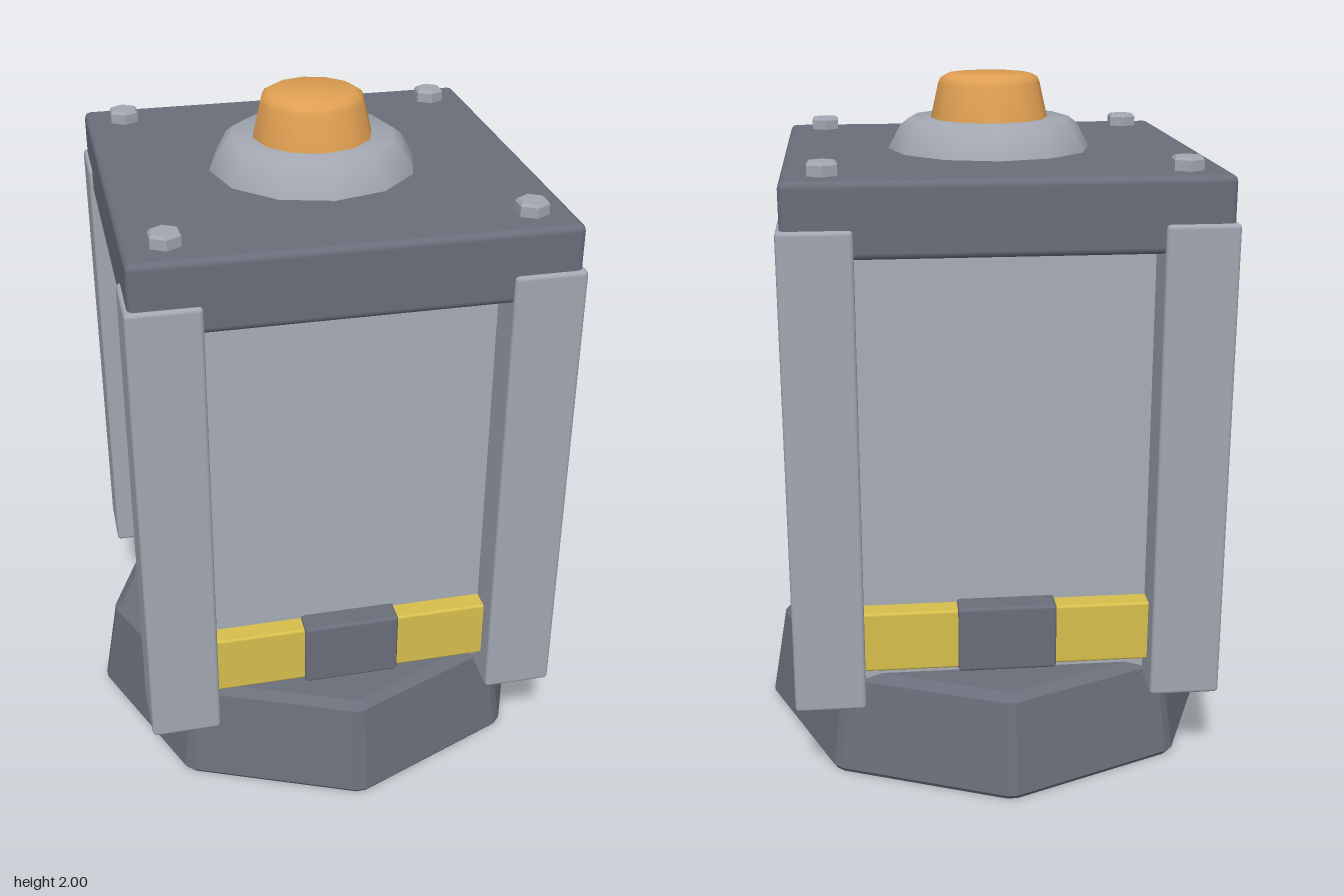
import * as THREE from 'three';
import { RoundedBoxGeometry } from 'three/addons/geometries/RoundedBoxGeometry.js';
import { toCreasedNormals } from 'three/addons/utils/BufferGeometryUtils.js';

const material = (name, color) => {
  const m = new THREE.MeshStandardMaterial({ color });
  m.name = name;
  return m;
};

export function createModel() {
  const model = new THREE.Group();
  model.name = 'beaconCanister';

  const dark = material('darkMetal', 0x6a6e7a);
  const light = material('lightMetal', 0xa2a7b1);
  const wall = material('wallMetal', 0xa8adb5);
  const yellow = material('yellowBand', 0xd6be4c);
  const orange = material('orangeLamp', 0xe0a052);

  const add = (name, geometry, mat, x = 0, y = 0, z = 0, parent = model) => {
    const mesh = new THREE.Mesh(geometry, mat);
    mesh.name = name;
    mesh.position.set(x, y, z);
    parent.add(mesh);
    return mesh;
  };
  // Softly bevelled box spanning y0..y1
  const box = (name, w, y0, y1, d, bevel, mat, x = 0, z = 0, parent = model) =>
    add(name, new RoundedBoxGeometry(w, y1 - y0, d, 2, bevel), mat, x, (y0 + y1) / 2, z, parent);
  const lathe = (points, sides) =>
    new THREE.LatheGeometry(points.map(([r, y]) => new THREE.Vector2(r, y)), sides);

  // Eight-sided base: sixteen spokes are pulled together in pairs to chamfer the corners
  const base = lathe(
    [[0, 0], [0.7, 0], [0.711, 0.015], [0.664, 0.29], [0.635, 0.312], [0, 0.312]], 16);
  const p = base.attributes.position;
  for (let i = 0; i < p.count; i++) {
    const r = Math.hypot(p.getX(i), p.getZ(i));
    const spoke = Math.floor(i / 6);
    const angle = Math.floor(spoke / 2) * Math.PI / 4 + (spoke % 2 ? 0.022 : -0.022);
    p.setXYZ(i, r * Math.sin(angle), p.getY(i), r * Math.cos(angle));
  }
  const flatBase = base.toNonIndexed();
  flatBase.computeVertexNormals();
  add('base', flatBase, dark);

  // Body and lid
  box('body', 0.98, 0.27, 1.62, 0.98, 0.015, wall);
  box('lid', 1.21, 1.575, 1.785, 1.21, 0.02, dark);

  // Corner posts and lid bolts
  const boltShape = toCreasedNormals(
    lathe([[0, 0], [0.047, 0], [0.047, 0.034], [0.04, 0.042], [0, 0.042]], 6), 0.5);
  for (const x of [-1, 1]) for (const z of [-1, 1]) {
    box('cornerPost', 0.203, 0.265, 1.657, 0.203, 0.012, light, x * 0.515, z * 0.515);
    add('lidBolt', boltShape, light, x * 0.49, 1.78, z * 0.49);
  }

  // Yellow band with a buckle on each of the four sides
  for (let i = 0; i < 4; i++) {
    const side = new THREE.Group();
    side.name = 'bandSide';
    side.rotation.y = i * Math.PI / 2;
    model.add(side);
    box('band', 0.88, 0.35, 0.533, 0.09, 0.008, yellow, 0, 0.505, side);
    box('buckle', 0.286, 0.342, 0.542, 0.1, 0.01, dark, 0, 0.512, side);
  }

  // Lamp mount and lamp
  add('lampMount', toCreasedNormals(
    lathe([[0.303, 1.775], [0.298, 1.79], [0.262, 1.855], [0.237, 1.874], [0, 1.874]], 12), 0.75), light);
  add('lamp', toCreasedNormals(
    lathe([[0.175, 1.865], [0.15, 1.975], [0.143, 1.99], [0.125, 2], [0, 2]], 12), 0.8), orange);

  return model;
}
